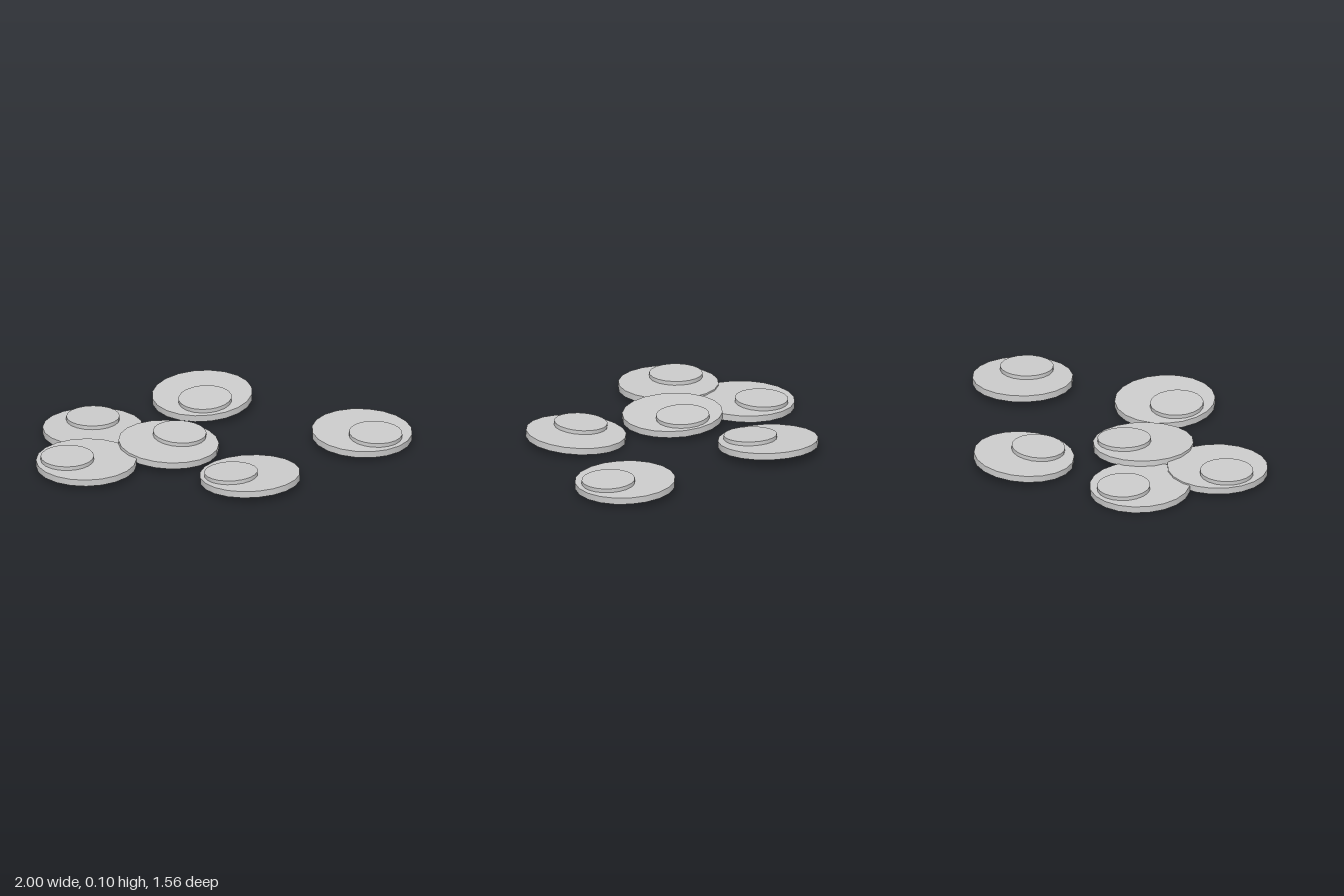
import * as THREE from 'three';

const DISC_R = 0.277, DISC_H = 0.037, CAP_R = 0.147, CAP_H = 0.022, SIDES = 20;

// Each stone: centre x, z, height of underside, tilt (normal x, z), offset of the small cap (x, z)
const STONES = [
  { name: 'backStone',      at: [-0.253, 0.037, -0.505], tilt: [-0.03, 0.055],  cap: [0.043, 0.09] },
  { name: 'leftStone',      at: [0.722, 0.031, -0.28],   tilt: [0.041, 0.007],  cap: [0.09, 0.045] },
  { name: 'rightStone',     at: [-0.723, 0.012, 0.04],   tilt: [-0.02, -0.03],  cap: [-0.027, -0.097] },
  { name: 'frontRightStone', at: [-0.63, 0.027, 0.50],   tilt: [-0.012, 0.005], cap: [-0.1, 0.028] },
  { name: 'centreStone',    at: [-0.255, 0.037, 0.17],   tilt: [0.05, 0],       cap: [0.033, -0.1] },
  { name: 'frontLeftStone', at: [0.283, 0.021, 0.42],    tilt: [-0.048, -0.038], cap: [-0.095, 0.045] },
];

export function createModel() {
  const model = new THREE.Group();
  model.name = 'steppingStones';
  const material = new THREE.MeshStandardMaterial({ color: 0xcccccc });
  const discGeometry = new THREE.CylinderGeometry(DISC_R, DISC_R, DISC_H, SIDES);
  const capGeometry = new THREE.CylinderGeometry(CAP_R, CAP_R, CAP_H, SIDES);
  const up = new THREE.Vector3(0, 1, 0);

  for (const { name, at, tilt, cap } of STONES) {
    const stone = new THREE.Group();
    stone.name = name;
    stone.position.set(...at);

    // Turn the stone so its cap lies along local x, then tip it
    const normal = new THREE.Vector3(tilt[0], 1, tilt[1]).normalize();
    const yaw = new THREE.Quaternion().setFromAxisAngle(up, Math.atan2(-cap[1], cap[0]));
    stone.quaternion.setFromUnitVectors(up, normal).multiply(yaw);

    // Broad flat disc
    const disc = new THREE.Mesh(discGeometry, material);
    disc.name = 'disc';
    disc.position.y = DISC_H / 2;

    // Small off-centre disc on top
    const top = new THREE.Mesh(capGeometry, material);
    top.name = 'cap';
    top.position.set(Math.hypot(...cap), DISC_H + CAP_H / 2, 0);

    stone.add(disc, top);
    model.add(stone);
  }
  return model;
}
